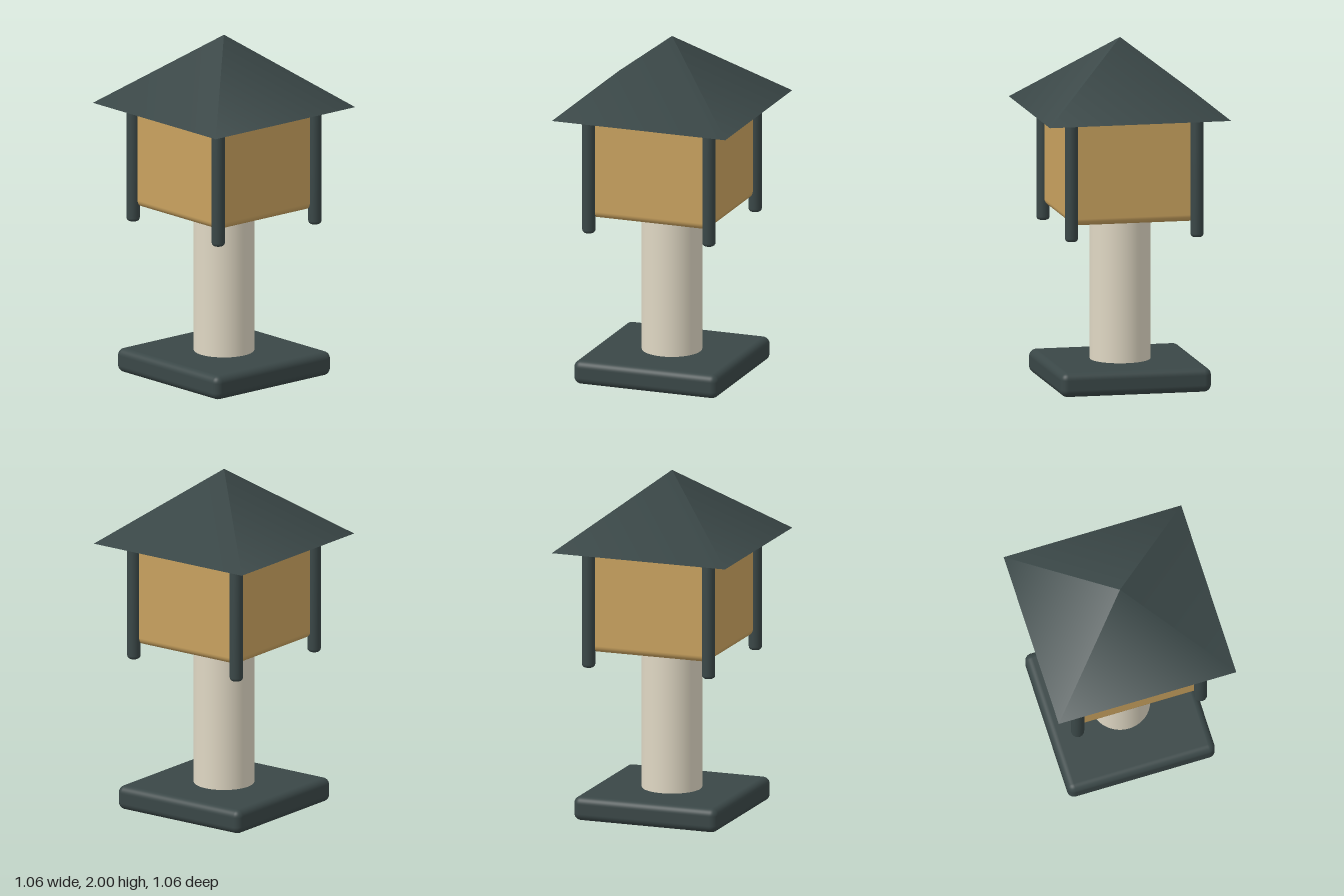
import * as THREE from 'three';
import { RoundedBoxGeometry } from 'three/addons/geometries/RoundedBoxGeometry.js';

const material = (name, color) => {
  const m = new THREE.MeshStandardMaterial({ color });
  m.name = name;
  return m;
};

export function createModel() {
  const group = new THREE.Group();
  group.name = 'lanternHouse';
  const slate = material('dark slate', 0x3a4747);
  const wood = material('warm wood', 0xc9a25f);
  const stone = material('pale stone', 0xe0d8c4);

  const add = (name, geometry, mat, x, y, z) => {
    const mesh = new THREE.Mesh(geometry, mat);
    mesh.name = name;
    mesh.position.set(x, y, z);
    group.add(mesh);
    return mesh;
  };

  // Foot slab and column
  add('base', new RoundedBoxGeometry(0.88, 0.14, 0.88, 5, 0.042), slate, 0, 0.07, 0);
  add('column', new THREE.CylinderGeometry(0.173, 0.173, 0.83, 48), stone, 0, 0.555, 0);

  // House box
  add('house', new RoundedBoxGeometry(0.734, 0.62, 0.734, 5, 0.04), wood, 0, 1.29, 0);

  // Round corner posts with softened ends
  const r = 0.038, b = 0.02, h = 0.7;
  const profile = [new THREE.Vector2(0, 0)];
  for (let i = 0; i <= 5; i++) {
    const a = (i / 5) * Math.PI / 2;
    profile.push(new THREE.Vector2(r - b + b * Math.sin(a), b - b * Math.cos(a)));
  }
  profile.push(new THREE.Vector2(r, h), new THREE.Vector2(0, h));
  const postGeometry = new THREE.LatheGeometry(profile, 24);
  for (const x of [-1, 1]) {
    for (const z of [-1, 1]) {
      add(`${z > 0 ? 'front' : 'back'}${x > 0 ? 'Left' : 'Right'}Post`,
        postGeometry, slate, x * 0.367, 0.893, z * 0.367);
    }
  }

  // Pyramid roof
  const roof = new THREE.ConeGeometry(0.53 * Math.SQRT2, 0.415, 4);
  roof.rotateY(Math.PI / 4);
  add('roof', roof, slate, 0, 1.7925, 0);

  return group;
}
